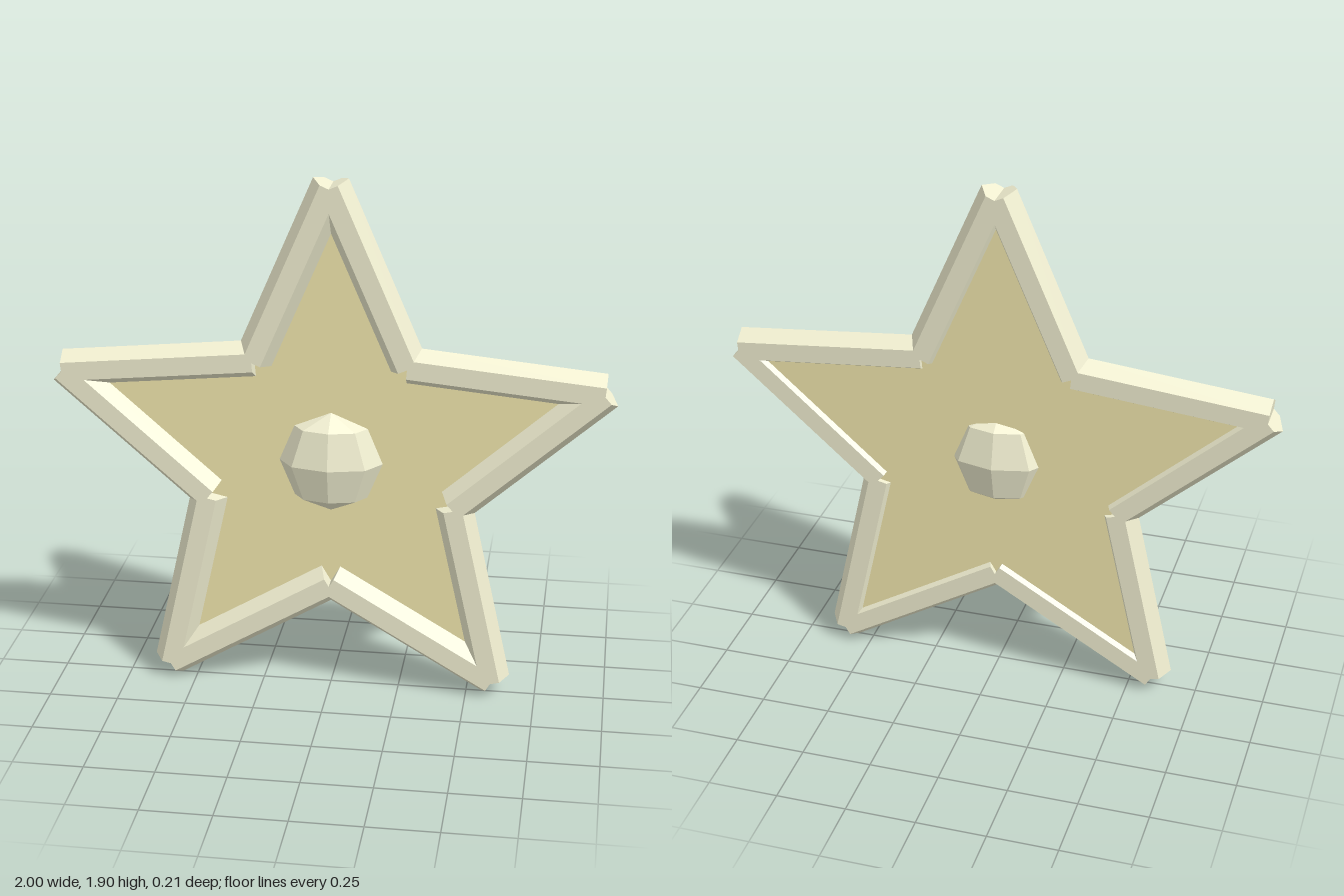
import * as THREE from 'three';

const CENTER_Y = 0.87, OUTER = 1.005, INNER = 0.464, BAR = 0.067;

export function createModel() {
  const model = new THREE.Group();
  model.name = 'starOrnament';
  const frameMat = new THREE.MeshStandardMaterial({ color: 0xf0eed0, flatShading: true });
  const plateMat = new THREE.MeshStandardMaterial({ color: 0xf0e6ac, flatShading: true });

  const star = new THREE.Group();
  star.name = 'star';
  star.position.y = CENTER_Y;
  model.add(star);

  // Alternating tips and notches of the five-pointed star
  const points = Array.from({ length: 10 }, (_, i) => {
    const a = Math.PI / 2 + (i * Math.PI) / 5;
    const r = i % 2 ? INNER : OUTER;
    return new THREE.Vector2(r * Math.cos(a), r * Math.sin(a));
  });

  // Recessed plate filling the frame, set towards the back
  const plateGeo = new THREE.ExtrudeGeometry(new THREE.Shape(points), { depth: 0.04, bevelEnabled: false });
  plateGeo.translate(0, 0, -0.04);
  const plate = new THREE.Mesh(plateGeo, plateMat);
  plate.name = 'plate';
  star.add(plate);

  // Hexagonal frame bars, a flat side to the front
  const length = points[0].distanceTo(points[1]);
  const barGeo = new THREE.CylinderGeometry(BAR, BAR, length, 6).rotateY(Math.PI / 2);
  points.forEach((p, i) => {
    const q = points[(i + 1) % 10];
    const bar = new THREE.Mesh(barGeo, frameMat);
    bar.name = 'frameBar' + (i + 1);
    bar.position.set((p.x + q.x) / 2, (p.y + q.y) / 2, 0);
    bar.rotation.z = Math.atan2(q.y - p.y, q.x - p.x) - Math.PI / 2;
    star.add(bar);
  });

  // Flattened faceted gem through the middle
  const gemGeo = new THREE.SphereGeometry(0.185, 8, 4).scale(1, 1, 0.565);
  const gem = new THREE.Mesh(gemGeo, frameMat);
  gem.name = 'centreGem';
  star.add(gem);

  return model;
}
